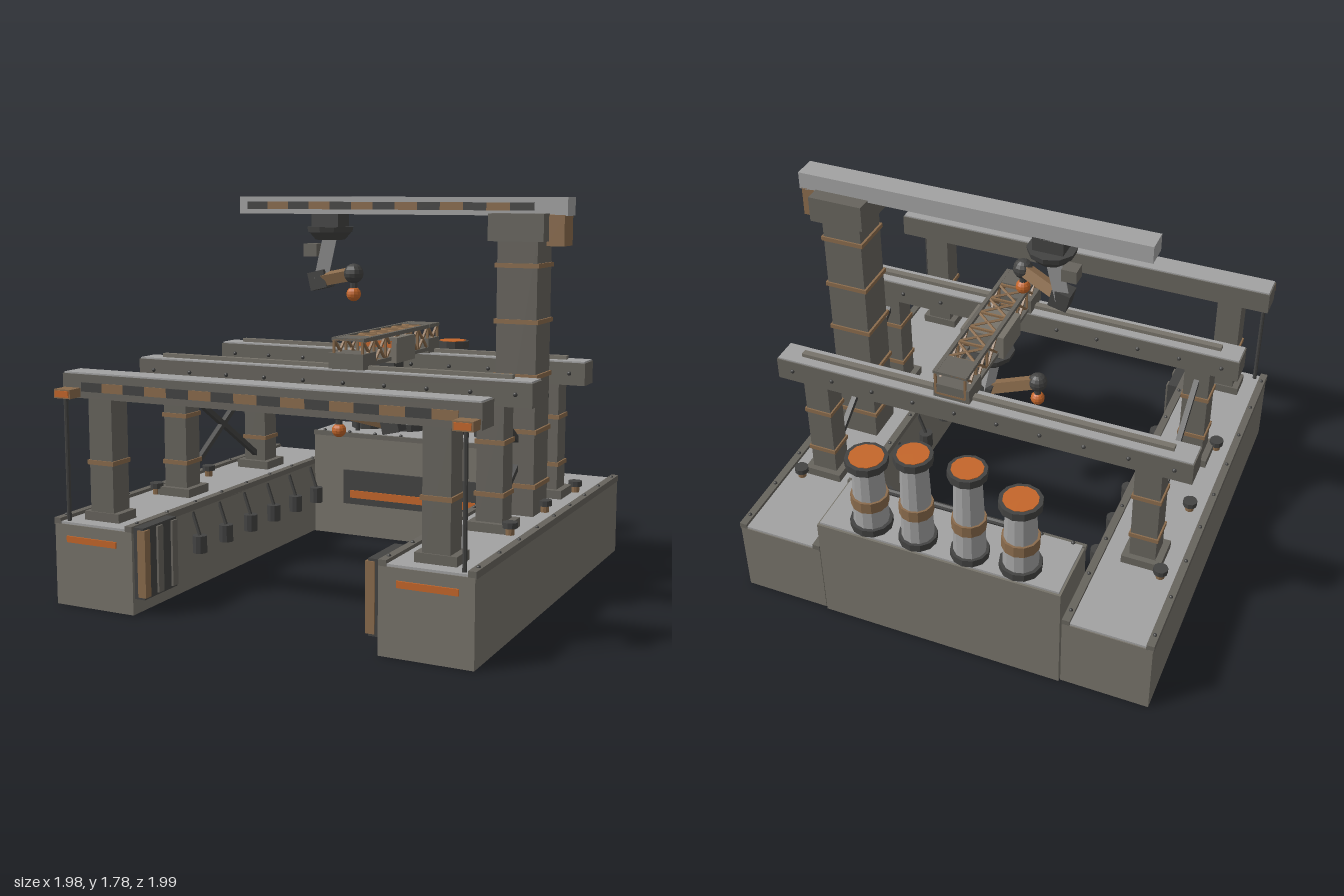
import * as THREE from 'three';

const mat = (c) => new THREE.MeshStandardMaterial({ color: c, flatShading: true });
const body = mat(0x77736a), steel = mat(0x67645d), light = mat(0xa2a2a2), dark = mat(0x434342);
const tan = mat(0x8a6b4c), orange = mat(0xc4662a);
const V = (x, y, z) => new THREE.Vector3(x, y, z);

export function createModel() {
  const root = new THREE.Group();
  const add = (geo, m, name, p, parent = root) => {
    const mesh = new THREE.Mesh(geo, m);
    mesh.name = name;
    mesh.position.set(...p);
    parent.add(mesh);
    return mesh;
  };
  const group = (name) => {
    const g = new THREE.Group();
    g.name = name;
    root.add(g);
    return g;
  };
  // Box given by its min/max on each axis
  const box = (x0, x1, y0, y1, z0, z1, m, name, parent) =>
    add(new THREE.BoxGeometry(x1 - x0, y1 - y0, z1 - z0), m, name,
      [(x0 + x1) / 2, (y0 + y1) / 2, (z0 + z1) / 2], parent);
  // Upright cylinder from y0 to y1
  const cyl = (x, z, y0, y1, r0, r1, m, name, parent, n = 12) =>
    add(new THREE.CylinderGeometry(r1, r0, y1 - y0, n), m, name, [x, (y0 + y1) / 2, z], parent);
  const ball = (p, r, m, name, parent) => add(new THREE.SphereGeometry(r, 12, 8), m, name, p, parent);
  // Bar between two points, square (w x w) or round
  const bar = (a, b, w, m, name, parent, round = false) => {
    const len = a.distanceTo(b);
    const geo = round ? new THREE.CylinderGeometry(w / 2, w / 2, len, 8) : new THREE.BoxGeometry(w, len, w);
    const mesh = add(geo, m, name, a.clone().add(b).multiplyScalar(0.5).toArray(), parent);
    mesh.quaternion.setFromUnitVectors(V(0, 1, 0), b.clone().sub(a).normalize());
    return mesh;
  };
  const stripes = (x0, x1, y0, y1, z, n, parent) => {
    const w = (x1 - x0) / n;
    for (let i = 0; i < n; i++)
      box(x0 + i * w, x0 + (i + 1) * w, y0, y1, z - 0.005, z + 0.004, i % 2 ? tan : dark, 'hazardStripe', parent);
  };
  const collar = (x, y, z, w, d, parent) =>
    box(x - w / 2, x + w / 2, y - 0.01, y + 0.01, z - d / 2, z + d / 2, tan, 'collar', parent);

  // Side platforms
  for (const s of [1, -1]) {
    const g = group(s > 0 ? 'leftPlatform' : 'rightPlatform');
    const sb = (a, b, ...rest) => box(Math.min(s * a, s * b), Math.max(s * a, s * b), ...rest, g);
    sb(0.58, 0.985, 0, 0.365, -0.985, 0.985, body, 'platformBody');
    sb(0.59, 0.975, 0.365, 0.375, -0.98, 0.98, light, 'deck');
    for (const [a, b] of [[0.58, 0.615], [0.955, 0.99]]) {
      sb(a, b, 0.36, 0.39, -0.985, 0.985, steel, 'edgeRail');
      for (let i = 0; i < 9; i++)
        ball([s * (a + b) / 2, 0.39, -0.92 + i * 0.23], 0.009, dark, 'rivet', g);
    }
    sb(0.66, 0.92, 0.287, 0.315, 0.98, 0.992, orange, 'frontLight');
    // Gate box on the inner front corner
    sb(0.53, 0.58, 0.07, 0.385, 0.72, 0.97, dark, 'gateBox');
    for (const z of [0.74, 0.85, 0.95]) sb(0.52, 0.56, 0.08, 0.375, z - 0.015, z + 0.025, z > 0.9 ? tan : steel, 'gateRib');
    // Hanging buffers along the inner wall
    for (let i = 0; i < 6; i++) {
      const z = -0.63 + i * 0.228;
      cyl(s * 0.543, z, 0.17, 0.25, 0.034, 0.034, dark, 'buffer', g, 10);
      bar(V(s * 0.543, 0.25, z), V(s * 0.58, 0.355, z), 0.012, dark, 'bufferRod', g);
    }
    // Bollards
    for (const z of [-0.58, -0.12, 0.34]) {
      cyl(s * 0.89, z, 0.375, 0.41, 0.02, 0.02, tan, 'bollardStem', g, 10);
      cyl(s * 0.89, z, 0.405, 0.43, 0.033, 0.033, dark, 'bollardCap', g, 10);
    }
    // Cross bracing between the two track gantries
    bar(V(s * 0.79, 0.86, 0.22), V(s * 0.79, 0.45, -0.42), 0.025, dark, 'crossBrace', g);
    bar(V(s * 0.79, 0.45, 0.22), V(s * 0.79, 0.86, -0.42), 0.025, dark, 'crossBrace', g);
    // Signal pole in front of the front gantry
    bar(V(s * 0.93, 0.37, 0.955), V(s * 0.93, 0.93, 0.955), 0.02, dark, 'signalPole', g, true);
    sb(0.885, 0.97, 0.92, 0.96, 0.91, 0.985, tan, 'signalHousing');
    sb(0.892, 0.963, 0.926, 0.954, 0.98, 0.99, orange, 'signalLamp');
  }

  // Rear block with panel, handrail and canisters
  const rear = group('rearBlock');
  box(-0.575, 0.57, 0, 0.54, -0.995, -0.68, body, 'rearBody', rear);
  box(-0.565, 0.56, 0.54, 0.55, -0.985, -0.69, light, 'rearDeck', rear);
  box(-0.58, 0.575, 0.525, 0.548, -0.695, -0.675, steel, 'rearRail', rear);
  for (let i = 0; i < 8; i++) ball([-0.52 + i * 0.147, 0.55, -0.69], 0.01, dark, 'rivet', rear);
  box(-0.4, 0.39, 0.17, 0.35, -0.685, -0.668, dark, 'panel', rear);
  box(-0.36, 0.345, 0.205, 0.245, -0.67, -0.662, orange, 'panelLight', rear);
  bar(V(-0.36, 0.617, -0.757), V(0.35, 0.617, -0.757), 0.03, dark, 'handrail', rear, true);
  for (const x of [-0.36, 0.35]) {
    ball([x, 0.617, -0.757], 0.021, dark, 'handrailEnd', rear);
    cyl(x, -0.757, 0.55, 0.61, 0.012, 0.012, dark, 'handrailPost', rear, 8);
  }
  for (const [x, z, top, r, b] of [[-0.36, -0.9, 0.94, 0.095, 0.68], [-0.13, -0.912, 1.04, 0.086, 0.715],
    [0.115, -0.912, 1.04, 0.086, 0.715], [0.345, -0.9, 0.94, 0.095, 0.68]]) {
    const k = r / 0.095;
    cyl(x, z, 0.55, 0.585, r, r, dark, 'canisterBase', rear);
    cyl(x, z, 0.58, top - 0.03, 0.08 * k, 0.066 * k, light, 'canisterBody', rear);
    cyl(x, z, b, b + 0.055, 0.084 * k, 0.084 * k, tan, 'canisterBand', rear);
    cyl(x, z, top - 0.04, top - 0.003, r, r, dark, 'canisterRim', rear);
    cyl(x, z, top - 0.01, top, 0.077 * k, 0.077 * k, orange, 'canisterLid', rear);
  }

  // Three gantries across the bay
  for (const [z, track] of [[0.845, false], [0.268, true], [-0.473, true]]) {
    const g = group(track ? 'trackGantry' : 'frontGantry');
    for (const x of [-0.79, 0.79]) {
      box(x - 0.06, x + 0.06, 0.37, 0.93, z - 0.058, z + 0.058, steel, 'gantryLeg', g);
      const foot = track ? 0.085 : 0.065;
      box(x - 0.09, x + 0.09, 0.37, 0.415, z - foot, z + foot, steel, 'gantryFoot', g);
      for (const y of track ? [0.535, 0.76] : [0.635]) collar(x, y, z, 0.135, 0.13, g);
    }
    box(-0.98, 0.975, 0.915, 1.02, z - 0.063, z + 0.063, steel, 'gantryBeam', g);
    box(-0.975, 0.97, 1.018, 1.027, z - 0.058, z + 0.058, light, 'beamTop', g);
    if (track) {
      box(-0.88, 0.87, 1.02, 1.045, z - 0.015, z + 0.015, body, 'trackRail', g);
      for (let i = 0; i < 10; i++)
        for (const s of [1, -1]) ball([-0.9 + i * 0.2, 0.97, z + s * 0.063], 0.01, dark, 'rivet', g);
    } else stripes(-0.88, 0.88, 0.945, 0.985, z + 0.064, 16, g);
  }

  // Truss bridge riding on the track gantries
  const truss = group('trussBridge');
  for (const z of [0.268, -0.458]) box(0.03, 0.2, 1.03, 1.1, z - 0.066, z + 0.066, steel, 'bridgeCarriage', truss);
  const X = [0.05, 0.19], Y = [1.05, 1.16], n = 7, z0 = -0.52, dz = 0.84 / n;
  for (const x of X) for (const y of Y) bar(V(x, y, z0), V(x, y, z0 + 0.84), 0.018, steel, 'trussChord', truss);
  for (let i = 0; i <= n; i++) {
    const a = z0 + i * dz, b = a + dz;
    for (const y of Y) bar(V(X[0], y, a), V(X[1], y, a), 0.01, tan, 'trussTie', truss);
    for (const x of X) bar(V(x, Y[0], a), V(x, Y[1], a), 0.01, tan, 'trussPost', truss);
    if (i === n) break;
    for (const [p, q] of [[a, b], [b, a]]) {
      for (const x of X) bar(V(x, Y[0], p), V(x, Y[1], q), 0.01, tan, 'trussDiagonal', truss);
      bar(V(X[0], Y[1], p), V(X[1], Y[1], q), 0.01, tan, 'trussDiagonal', truss);
    }
  }
  for (const [a, b] of [[-0.525, -0.4], [0.21, 0.325]]) box(0.04, 0.2, 1.155, 1.168, a, b, steel, 'trussEndPlate', truss);
  box(0.015, 0.225, 1.03, 1.145, -0.17, 0.035, body, 'trolley', truss);
  box(0.035, 0.2, 1.1, 1.13, 0.03, 0.04, orange, 'trolleyLight', truss);

  // Column and overhead boom on the model's left
  const crane = group('boomCrane');
  box(0.69, 0.875, 0.37, 1.62, -0.19, 0, steel, 'column', crane);
  for (const y of [0.51, 0.755, 1.0, 1.24, 1.485]) collar(0.782, y, -0.095, 0.205, 0.205, crane);
  box(0.655, 0.91, 1.59, 1.71, -0.23, 0.03, steel, 'columnHead', crane);
  box(0.9, 0.98, 1.57, 1.705, -0.16, -0.04, tan, 'counterweight', crane);
  box(-0.645, 0.99, 1.7, 1.78, -0.16, -0.05, light, 'boom', crane);
  stripes(-0.6, 0.84, 1.722, 1.757, -0.049, 13, crane);

  // Hanging robot arms, same build; x = bend direction
  const arm = (name, x, top, z, s) => {
    const g = group(name);
    g.position.set(x, top, z);
    g.scale.x = 1;
    box(-0.07, 0.07, -0.06, 0.005, -0.055, 0.055, dark, 'armMount', g);
    cyl(0, 0, -0.085, -0.06, 0.105, 0.11, dark, 'turntableRim', g, 10);
    cyl(0, 0, -0.12, -0.085, 0.07, 0.1, dark, 'turntable', g, 10);
    const elbow = s < 0 ? V(-0.045, -0.31, 0.01) : V(0.045, -0.31, 0.01);
    const wrist = s < 0 ? V(0.17, -0.27, 0.095) : V(-0.2, -0.255, 0.08);
    bar(V(0, -0.1, 0), elbow, 0.065, light, 'upperArm', g);
    box(s * 0.09 - 0.035, s * 0.09 + 0.035, -0.2, -0.14, -0.035, 0.035, steel, 'shoulderMotor', g);
    bar(elbow.clone().add(V(-0.042, -0.01, 0)), elbow.clone().add(V(0.042, 0.01, 0)), 0.085, dark, 'elbow', g);
    bar(elbow, wrist, 0.052, tan, 'forearm', g);
    ball(wrist.toArray(), 0.046, dark, 'wrist', g);
    const tip = wrist.clone().add(V(0, -0.095, 0));
    bar(wrist, tip, 0.035, dark, 'toolStem', g, true);
    ball(tip.toArray(), 0.034, orange, 'toolTip', g);
  };
  arm('boomArm', -0.185, 1.7, -0.105, -1);
  arm('bridgeArm', 0.12, 1.045, -0.065, 1);

  return root;
}
